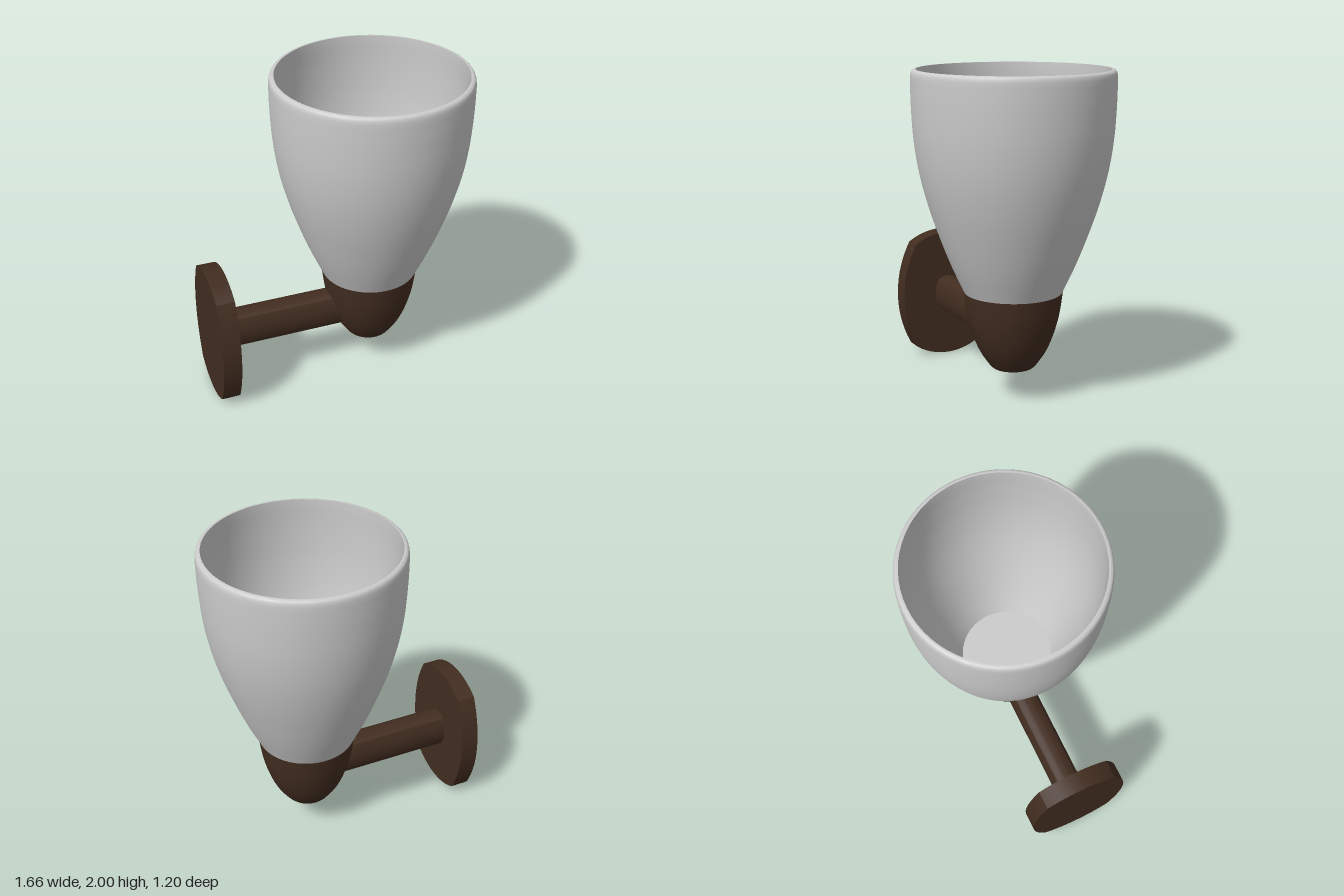
import * as THREE from 'three';
import { toCreasedNormals } from 'three/addons/utils/BufferGeometryUtils.js';

const AXIS_X = 0.23; // centre line of shade and holder
const MID_Y = 0.425; // centre height of plate and arm

const bronze = new THREE.MeshStandardMaterial({ color: 0x422d20 });
const glass = new THREE.MeshStandardMaterial({ color: 0xcccccc });

function addMesh(group, name, geometry, material, x, y) {
  const mesh = new THREE.Mesh(geometry, material);
  mesh.name = name;
  mesh.position.set(x, y, 0);
  group.add(mesh);
}

// Smooth run of points through a few [radius, height] pairs
function smooth(pairs, steps) {
  return new THREE.SplineCurve(pairs.map((p) => new THREE.Vector2(...p))).getPoints(steps);
}

function lathe(points) {
  return toCreasedNormals(new THREE.LatheGeometry(points, 64), 0.6);
}

// Points on a shallow arc from a to b that bulges by h to the right of travel
function arc(a, b, h) {
  const dir = b.clone().sub(a);
  const half = dir.length() / 2;
  const r = (half * half + h * h) / (2 * h);
  const out = new THREE.Vector2(dir.y, -dir.x).normalize();
  const centre = a.clone().add(b).multiplyScalar(0.5).addScaledVector(out, h - r);
  const start = a.clone().sub(centre).angle();
  const sweep = 2 * Math.asin(half / r);
  const points = [];
  for (let i = 0; i < 14; i++) {
    const t = start + (sweep * i) / 14;
    points.push(new THREE.Vector2(centre.x + r * Math.cos(t), centre.y + r * Math.sin(t)));
  }
  return points;
}

// Bar along +x whose section is a rectangle with four bowed sides
function bowedBar(scale, length) {
  const corners = [[0.23, -0.355], [0.23, 0.355], [-0.23, 0.355], [-0.23, -0.355]]
    .map(([x, y]) => new THREE.Vector2(x, y).multiplyScalar(scale));
  const bulge = [0.09, 0.07, 0.09, 0.07];
  const outline = corners.flatMap((c, i) => arc(c, corners[(i + 1) % 4], bulge[i] * scale));
  const bar = new THREE.ExtrudeGeometry(new THREE.Shape(outline), { depth: length, bevelEnabled: false });
  bar.rotateY(Math.PI / 2);
  return toCreasedNormals(bar, 0.3);
}

export function createModel() {
  const group = new THREE.Group();
  group.name = 'wallLamp';

  // Wall plate, and an arm with the same section made smaller
  addMesh(group, 'wallPlate', bowedBar(1, 0.115), bronze, -0.832, MID_Y);
  addMesh(group, 'arm', bowedBar(0.282, 0.86), bronze, -0.72, MID_Y);

  // Cup that holds the shade
  const cup = [
    new THREE.Vector2(0, 0.19),
    ...smooth([[0.105, 0.19], [0.125, 0.194], [0.143, 0.21]], 6),
    ...smooth([[0.143, 0.21], [0.2, 0.295], [0.245, 0.4], [0.28, 0.53], [0.3, 0.67]], 20).slice(1),
    new THREE.Vector2(0, 0.67),
  ];
  addMesh(group, 'holder', lathe(cup), bronze, AXIS_X, 0);

  // Hollow shade: outside, rounded rim, inside, floor
  const wall = [[0.297, 0.67], [0.37, 0.83], [0.437, 1], [0.505, 1.2], [0.556, 1.4],
    [0.586, 1.6], [0.598, 1.8], [0.6, 1.95]];
  const inside = wall.map(([r, y], i) => [r - 0.012 - 0.003 * i, y + 0.008]).reverse();
  const shade = [
    new THREE.Vector2(0, 0.67),
    ...smooth(wall, 36),
    ...smooth([[0.6, 1.95], [0.598, 1.975], [0.591, 1.993], [0.578, 2]], 8).slice(1),
    new THREE.Vector2(0.568, 2),
    ...smooth(inside, 36),
    new THREE.Vector2(0, 0.678),
  ];
  addMesh(group, 'shade', lathe(shade), glass, AXIS_X, 0);

  return group;
}
